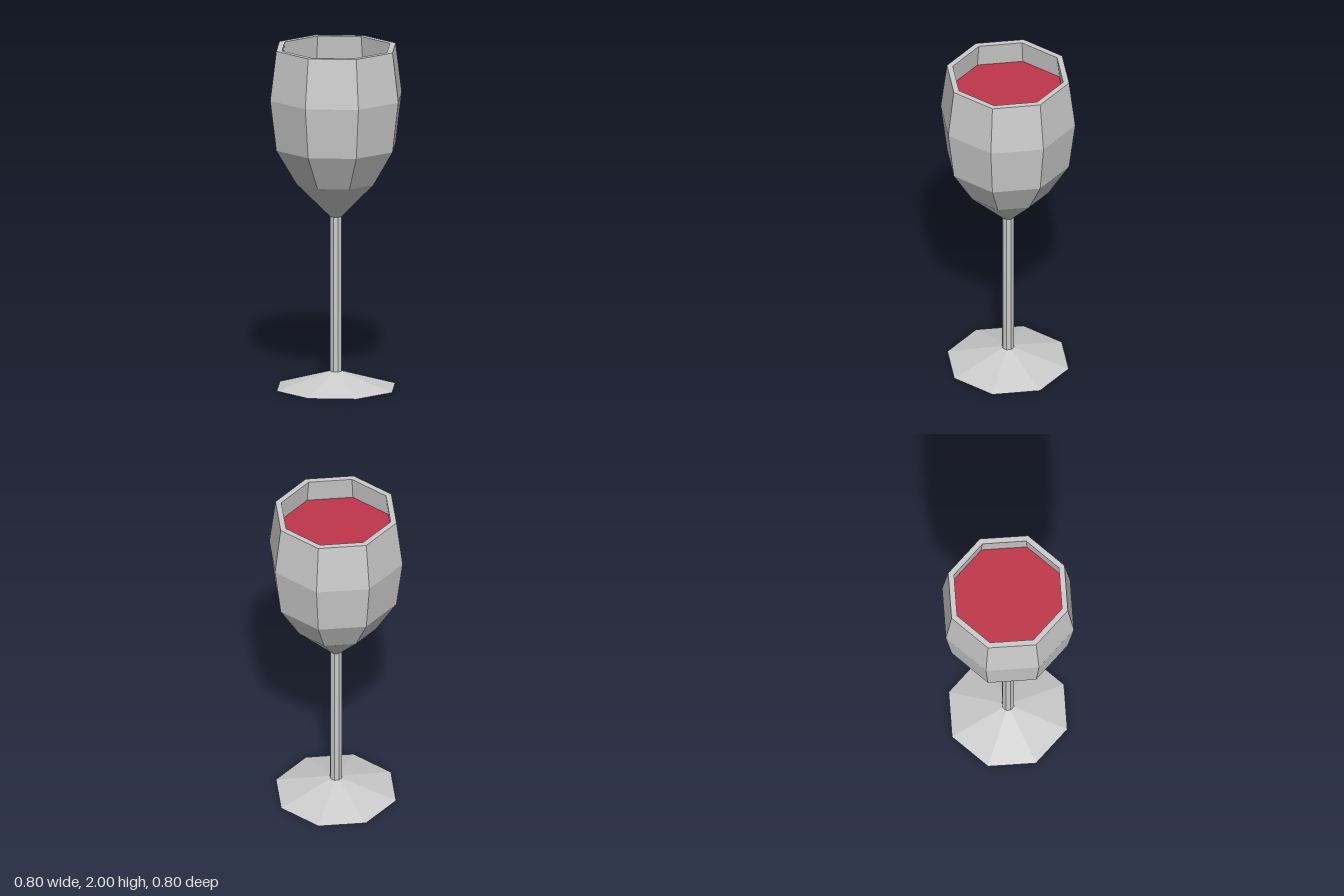
import * as THREE from 'three';

const SIDES = 8;

// Faceted eight-sided solid of revolution, profile given as [radius, height]
function turned(name, profile, color = 0xcccccc) {
  const points = profile.map(([r, y]) => new THREE.Vector2(r, y));
  const mesh = new THREE.Mesh(
    new THREE.LatheGeometry(points, SIDES),
    new THREE.MeshStandardMaterial({ color, flatShading: true })
  );
  mesh.name = name;
  return mesh;
}

export function createModel() {
  const glass = new THREE.Group();
  glass.name = 'wineGlass';

  // Shallow conical foot with a flat underside
  glass.add(turned('foot', [[0, 0], [0.36, 0], [0.035, 0.095]]));

  // Thin straight stem
  glass.add(turned('stem', [[0.035, 0.095], [0.035, 1.005]]));

  // Bowl: outer wall up to the flat rim, then the inner wall back down
  glass.add(turned('bowl', [
    [0.035, 1.005], [0.24, 1.21], [0.363, 1.415], [0.4, 1.71], [0.363, 2],
    [0.328, 2], [0.364, 1.71], [0.329, 1.43], [0.21, 1.23], [0, 1.05],
  ]));

  // Wine filling the bowl to just below the rim
  glass.add(turned('wine', [
    [0, 1.055], [0.207, 1.235], [0.326, 1.432], [0.361, 1.71], [0.344, 1.86], [0, 1.86],
  ], 0xc0364a));

  return glass;
}
